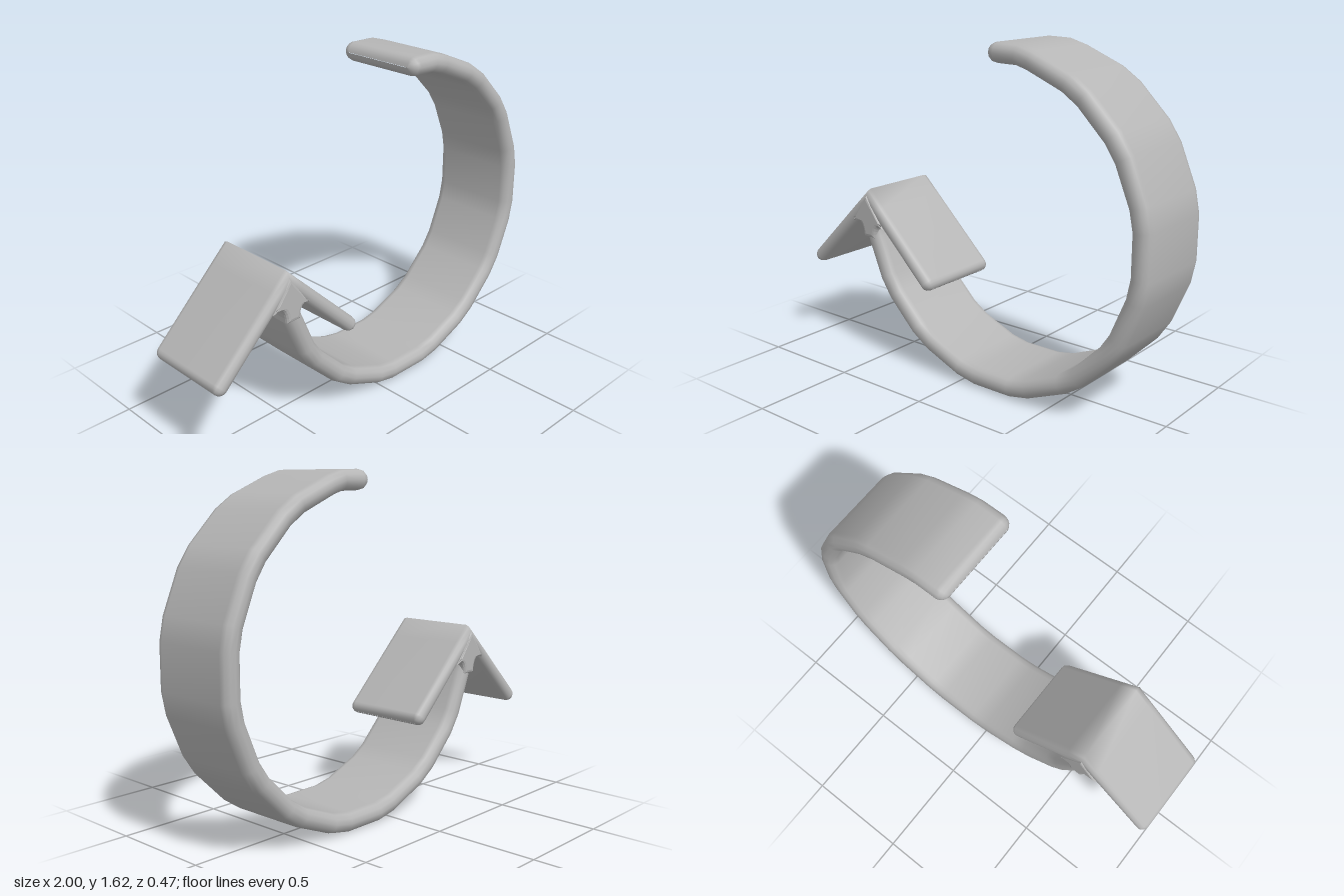
import * as THREE from 'three';

const HALF_WIDTH = 0.23;

// Sweeps a round-edged flat strip along a path in the xy plane, with rounded ends
function strip(path, t) {
  const core = HALF_WIDTH - t, steps = 6, rings = [];
  const pts = path.map(p => new THREE.Vector2(p[0], p[1]));
  const n = pts.length;
  const dir = i => pts[i + 1].clone().sub(pts[i]).normalize();
  for (let i = 0; i < n; i++) {
    const d1 = dir(Math.max(i - 1, 0)), d2 = dir(Math.min(i, n - 2));
    const T = d1.clone().add(d2).normalize();
    const N = new THREE.Vector2(-T.y, T.x);
    const miter = 1 / T.dot(d1);
    const cap = [0, 0.25, 0.5, 0.75, 0.99].map(k => k * Math.PI / 2);
    const angles = i === 0 ? cap.map(a => -a).reverse() : i === n - 1 ? cap : [0];
    for (const a of angles) {
      const c = pts[i].clone().addScaledVector(T, t * Math.sin(a));
      rings.push({ c, N, miter, r: t * Math.cos(a) });
    }
  }
  const pos = [], index = [], m = 2 * (steps + 1);
  for (const { c, N, miter, r } of rings) {
    for (let j = 0; j < m; j++) {
      const far = j > steps;
      const a = (far ? j - 1 : j) * Math.PI / steps;
      const off = r * Math.cos(a) * miter;
      pos.push(c.x + N.x * off, c.y + N.y * off, r * Math.sin(a) + (far ? -core : core));
    }
  }
  for (let i = 0; i < rings.length - 1; i++) {
    for (let j = 0; j < m; j++) {
      const k = (j + 1) % m;
      const a = i * m + j, b = i * m + k, c = b + m, d = a + m;
      index.push(a, b, c, a, c, d);
    }
  }
  const g = new THREE.BufferGeometry();
  g.setAttribute('position', new THREE.Float32BufferAttribute(pos, 3));
  g.setIndex(index);
  g.computeVertexNormals();
  return g;
}

// Replaces each inner corner of a path by a short chamfer
function softenCorners(path, k) {
  const mix = (a, b) => [a[0] + (b[0] - a[0]) * k, a[1] + (b[1] - a[1]) * k];
  const out = [path[0]];
  for (let i = 1; i < path.length - 1; i++) {
    out.push(mix(path[i], path[i - 1]), mix(path[i], path[i + 1]));
  }
  out.push(path[path.length - 1]);
  return out;
}

export function createModel() {
  const model = new THREE.Group();
  const grey = new THREE.MeshStandardMaterial({ color: 0xb6b6b6 });
  grey.name = 'grey';
  const add = (name, geometry) => {
    const mesh = new THREE.Mesh(geometry, grey);
    mesh.name = name;
    model.add(mesh);
  };

  // Sixteen-sided open ring, from the arrow down and around to the top
  const ring = [[-0.575, 0.76]];
  const R = 0.765 / Math.cos(Math.PI / 16);
  for (let i = 0; i <= 11; i++) {
    const a = (191.25 + 22.5 * i) * Math.PI / 180;
    ring.push([0.19 + R * Math.cos(a), 0.81 + R * Math.sin(a)]);
  }
  ring.push([0.21, 1.578]);
  add('curvedBand', strip(softenCorners(ring, 0.17), 0.046));

  // Two arms of the arrow meeting at its tip
  add('arrowHead', strip([
    [-0.965, 0.44], [-0.65, 0.747], [-0.59, 0.805], [-0.53, 0.747], [-0.215, 0.44],
  ], 0.036));

  // Filleted web where the band meets the arms
  const web = new THREE.Shape();
  web.moveTo(-0.59, 0.83);
  web.lineTo(-0.69, 0.68);
  web.quadraticCurveTo(-0.62, 0.72, -0.612, 0.61);
  web.lineTo(-0.535, 0.61);
  web.quadraticCurveTo(-0.53, 0.7, -0.48, 0.665);
  web.closePath();
  const joint = new THREE.ExtrudeGeometry(web, {
    depth: 0.43, bevelEnabled: true, bevelThickness: 0.02, bevelSize: 0.02,
    bevelOffset: -0.02, bevelSegments: 3, curveSegments: 8,
  });
  joint.translate(0, 0, -0.215);
  add('arrowJoint', joint);

  return model;
}
